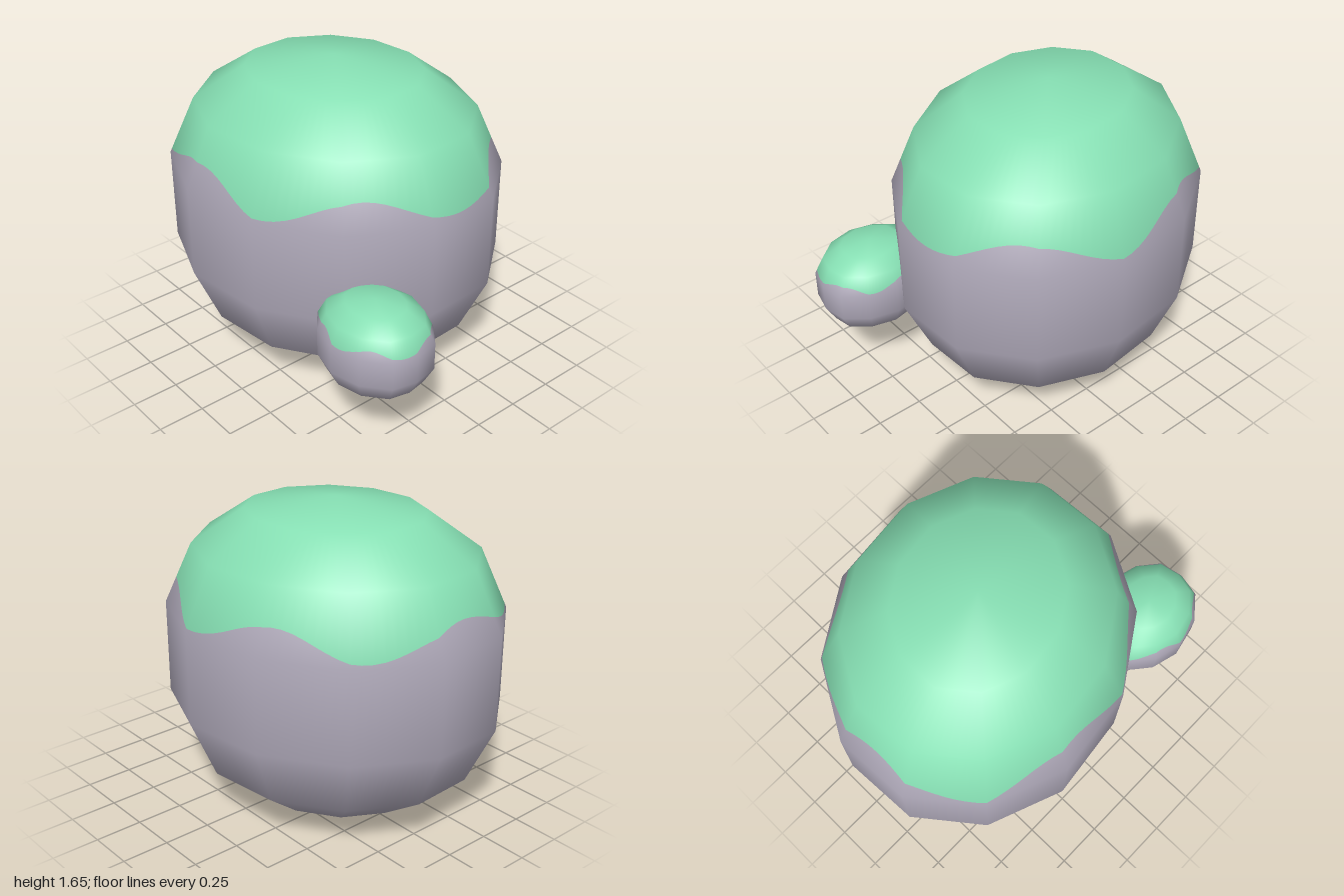
import * as THREE from 'three';

const SIDES = 12, FINE = 8;
const HEIGHTS = [-1, -0.918, -0.687, -0.302, 0.302, 0.687, 0.918, 1];
const WIDTHS = [0, 0.525, 0.837, 1, 1, 0.837, 0.525, 0];

// Coarse boulder: a point-symmetric outline stacked in rounded rings
function coarseBoulder(halfOutline, halfHeight) {
  const outline = [...halfOutline, ...halfOutline.map(([x, z]) => [-x, -z])];
  const positions = [], index = [];
  HEIGHTS.forEach((h, r) => {
    for (const [x, z] of outline) positions.push(x * WIDTHS[r], h * halfHeight, z * WIDTHS[r]);
  });
  for (let r = 0; r < HEIGHTS.length - 1; r++) {
    for (let c = 0; c < SIDES; c++) {
      const a = r * SIDES + c, b = r * SIDES + (c + 1) % SIDES;
      index.push(a, a + SIDES, b, b, a + SIDES, b + SIDES);
    }
  }
  const geometry = new THREE.BufferGeometry();
  geometry.setAttribute('position', new THREE.Float32BufferAttribute(positions, 3));
  geometry.setIndex(index);
  geometry.computeVertexNormals();
  const top = SIDES * (HEIGHTS.length - 1);
  for (let c = 0; c < SIDES; c++) {
    geometry.attributes.normal.setXYZ(c, 0, -1, 0);
    geometry.attributes.normal.setXYZ(top + c, 0, 1, 0);
  }
  return geometry;
}

// Blend a coarse attribute at a fractional column and row
function sample(attribute, col, row) {
  const r = Math.min(Math.floor(row), HEIGHTS.length - 2);
  const c = Math.floor(col) % SIDES, d = (c + 1) % SIDES, t = col - Math.floor(col);
  const at = (i, j) => new THREE.Vector3().fromBufferAttribute(attribute, i * SIDES + j);
  return at(r, c).lerp(at(r, d), t).lerp(at(r + 1, c).lerp(at(r + 1, d), t), row - r);
}

// Skin over the coarse boulder, between rows given per column
function skin(coarse, rowsAt) {
  const { position, normal } = coarse.attributes;
  const positions = [], normals = [], index = [];
  const columns = SIDES * FINE, count = rowsAt(0).length;
  for (let i = 0; i <= columns; i++) {
    const col = i / FINE;
    rowsAt(col).forEach((row, j) => {
      positions.push(...sample(position, col, row).toArray());
      normals.push(...sample(normal, col, row).normalize().toArray());
      if (i === columns || j === count - 1) return;
      const a = i * count + j, b = a + count;
      index.push(a, a + 1, b, b, a + 1, b + 1);
    });
  }
  const geometry = new THREE.BufferGeometry();
  geometry.setAttribute('position', new THREE.Float32BufferAttribute(positions, 3));
  geometry.setAttribute('normal', new THREE.Float32BufferAttribute(normals, 3));
  geometry.setIndex(index);
  return geometry;
}

// Stone body and moss cap meeting along a wavy line with five crests
function boulder(name, outline, halfHeight, mossLevel, crest, stone, moss) {
  const coarse = coarseBoulder(outline, halfHeight);
  const edge = (col) => {
    const p = sample(coarse.attributes.position, col, 4);
    const wave = Math.cos(5 * (Math.atan2(p.z, p.x) - THREE.MathUtils.degToRad(crest)));
    return 4 + (mossLevel + 0.077 * wave - HEIGHTS[4]) / (HEIGHTS[5] - HEIGHTS[4]);
  };
  const body = new THREE.Mesh(skin(coarse, (c) => [0, 1, 2, 3, 4, edge(c)]), stone);
  body.name = name + 'Stone';
  const cap = new THREE.Mesh(skin(coarse, (c) => [edge(c), 5, 6, 7]), moss);
  cap.name = name + 'Moss';
  const group = new THREE.Group();
  group.name = name;
  group.add(body, cap);
  return group;
}

export function createModel() {
  const stone = new THREE.MeshStandardMaterial({ color: 0xaea8b8 });
  stone.name = 'greyStone';
  const moss = new THREE.MeshStandardMaterial({ color: 0x86dfb3 });
  moss.name = 'greenMoss';

  const large = boulder('largeBoulder',
    [[0.865, 0.1], [0.645, 0.48], [0.265, 0.73], [-0.195, 0.785], [-0.595, 0.63], [-0.845, 0.31]],
    0.823, 0.396, 30, stone, moss);
  large.position.set(-0.135, 0.825, 0);

  const small = boulder('smallBoulder',
    [[0.298, 0], [0.268, 0.125], [0.145, 0.225], [-0.015, 0.26], [-0.165, 0.22], [-0.275, 0.13]],
    0.238, 0.416, 47, stone, moss);
  small.position.set(0.7, 0.573, 0.44);

  const model = new THREE.Group();
  model.name = 'mossyBoulders';
  model.add(large, small);
  return model;
}
